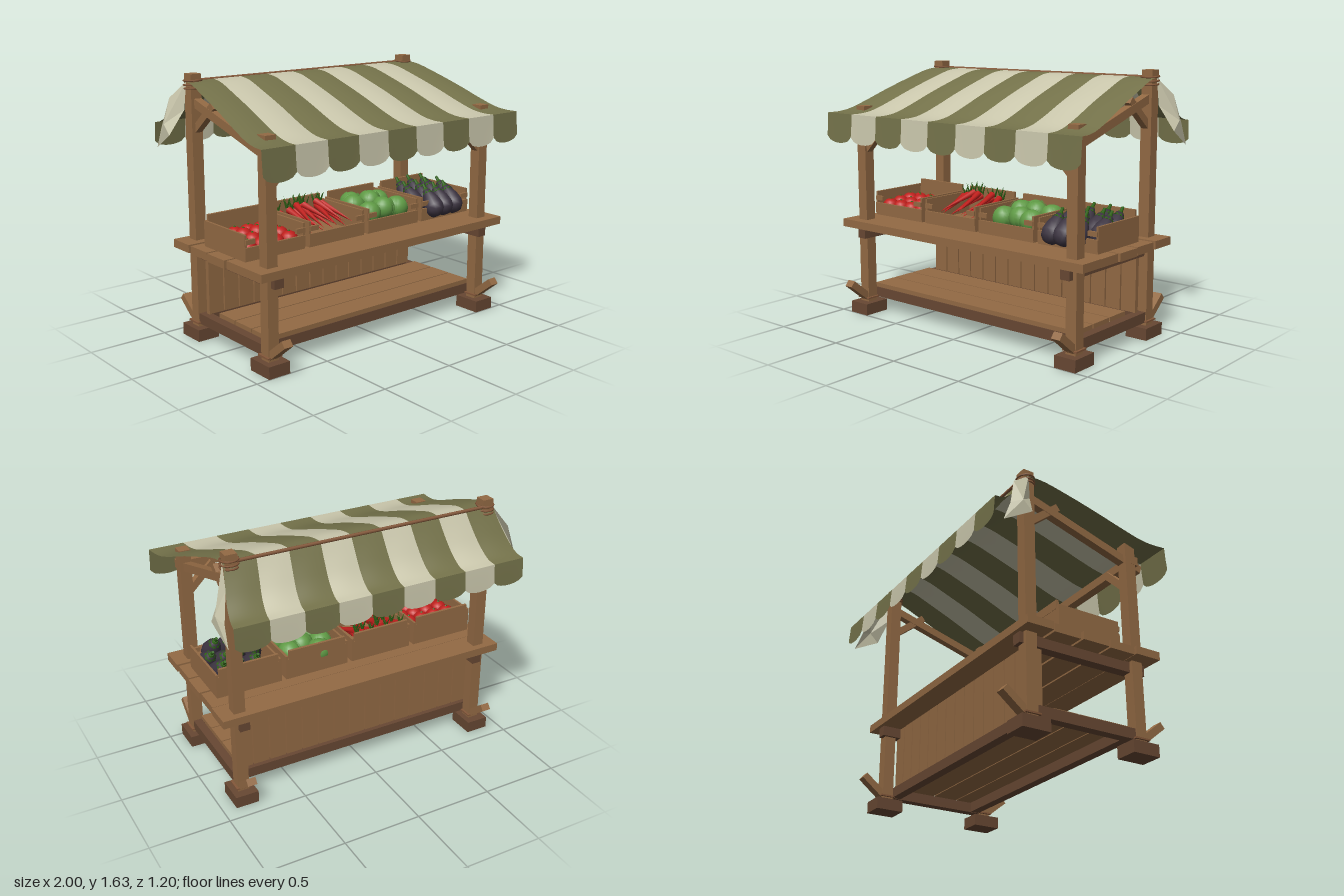
import * as THREE from 'three';

const mat = (name, color, side = THREE.FrontSide) => {
  const m = new THREE.MeshStandardMaterial({ color, side });
  m.name = name;
  return m;
};
const wood = mat('wood', 0x936a44), darkWood = mat('dark wood', 0x684833), rope = mat('rope', 0x84583a);
const olive = mat('olive cloth', 0x74724a, THREE.DoubleSide), cream = mat('cream cloth', 0xcac7ac, THREE.DoubleSide);
const red = mat('red', 0xc01f1c), cabbageGreen = mat('cabbage green', 0x5f9a45);
const leafGreen = mat('leaf green', 0x2f6416, THREE.DoubleSide), purple = mat('aubergine purple', 0x3d3542);

const UP = new THREE.Vector3(0, 1, 0);
const V = (p) => new THREE.Vector3(...p);

function add(parent, name, geo, material, pos = [0, 0, 0]) {
  const m = new THREE.Mesh(geo, material);
  m.name = name;
  m.position.set(...pos);
  parent.add(m);
  return m;
}
// Box given by its extents
function box(parent, name, material, [x0, x1], [y0, y1], [z0, z1]) {
  return add(parent, name, new THREE.BoxGeometry(x1 - x0, y1 - y0, z1 - z0), material,
    [(x0 + x1) / 2, (y0 + y1) / 2, (z0 + z1) / 2]);
}
// Turn an object whose axis is y so that it runs from a to b
function aim(obj, a, b) {
  const A = V(a), B = V(b);
  obj.position.copy(A).add(B).multiplyScalar(0.5);
  obj.quaternion.setFromUnitVectors(UP, B.sub(A).normalize());
  return obj;
}
function beam(parent, name, material, a, b, w, d = w) {
  return aim(add(parent, name, new THREE.BoxGeometry(w, V(a).distanceTo(V(b)), d), material), a, b);
}

// Striped cloth: rows are [half width, y, z]; 'puff' lifts stripe middles, 'drop' scallops the last row
function stripedCloth(parent, name, rows, { smooth = 1, puff = 0, drop = 0 } = {}) {
  const pts = smooth > 1 ? new THREE.CatmullRomCurve3(rows.map(V)).getPoints(smooth) : rows.map(V);
  const stripes = 9, cols = 8, n = pts.length;
  for (let s = 0; s < stripes; s++) {
    const pos = [], idx = [];
    pts.forEach((p, r) => {
      for (let c = 0; c <= cols; c++) {
        const arch = Math.sin((Math.PI * c) / cols);
        const x = (((s + c / cols) / stripes) * 2 - 1) * p.x;
        const scallop = r === n - 1 ? drop * Math.sqrt(arch) : 0;
        pos.push(x, p.y + puff * arch * Math.sin((Math.PI * r) / (n - 1)) - scallop, p.z);
      }
    });
    for (let r = 0; r < n - 1; r++) for (let c = 0; c < cols; c++) {
      const a = r * (cols + 1) + c, b = a + cols + 1;
      idx.push(a, b, a + 1, a + 1, b, b + 1);
    }
    const g = new THREE.BufferGeometry();
    g.setAttribute('position', new THREE.Float32BufferAttribute(pos, 3));
    g.setIndex(idx);
    g.computeVertexNormals();
    add(parent, name, g, s % 2 ? cream : olive);
  }
}

function buildFrame(g) {
  for (const s of [-1, 1]) {
    const x = s * 0.843, w = [x - 0.036, x + 0.036];
    for (const [z, top, dir] of [[0.41, 1.37, 1], [-0.32, 1.63, -1]]) {
      box(g, 'post', wood, w, [0.07, top], [z - 0.036, z + 0.036]);
      box(g, 'foot', darkWood, [x - 0.073, x + 0.073], [0, 0.075], [z - 0.09, z + 0.09]);
      beam(g, 'footBrace', wood, [x, 0.095, z + dir * 0.01], [x, 0.22, z + dir * 0.165], 0.06, 0.045);
      box(g, 'footBinding', rope, [x - 0.05, x + 0.05], [0.097, 0.107], [z - 0.05, z + 0.05]);
    }
    box(g, 'lowerSideRail', darkWood, [x - 0.03, x + 0.03], [0.095, 0.16], [-0.29, 0.38]);
    box(g, 'counterBearer', darkWood, [s * 0.823 - 0.032, s * 0.823 + 0.032], [0.51, 0.575], [-0.38, 0.48]);
    beam(g, 'rafter', wood, [s * 0.835, 1.225, 0.505], [s * 0.835, 1.463, -0.3], 0.05, 0.052);
    beam(g, 'rafterBrace', wood, [s * 0.835, 1.465, -0.1], [s * 0.835, 1.3, -0.3], 0.045);
    beam(g, 'frontBrace', wood, [s * 0.82, 1.09, 0.41], [s * 0.66, 1.25, 0.41], 0.045);
    // Rope lashings at the top of the rear posts
    for (const y of [1.545, 1.565, 1.59]) {
      const ring = add(g, 'ropeLashing', new THREE.TorusGeometry(0.053, 0.006, 6, 12), rope, [x, y, -0.32]);
      ring.rotation.x = Math.PI / 2 + 0.06 * s;
    }
  }
  box(g, 'lowerFrontRail', darkWood, [-0.82, 0.82], [0.098, 0.162], [0.31, 0.37]);
  box(g, 'lowerBackRail', darkWood, [-0.82, 0.82], [0.098, 0.162], [-0.285, -0.225]);
  box(g, 'frontCrossbar', wood, [-0.88, 0.88], [1.232, 1.288], [0.41, 0.468]);
  const pole = add(g, 'ridgePole', new THREE.CylinderGeometry(0.011, 0.011, 1.7, 8), rope, [0, 1.583, -0.345]);
  pole.rotation.z = Math.PI / 2;
}

function buildCounter(g) {
  [[0.34, 0.51], [0.16, 0.33], [-0.03, 0.147], [-0.22, -0.045], [-0.4, -0.23]].forEach((z, i) => {
    const e = 0.965 - (i % 2) * 0.008, y = i % 4 ? 0.572 : 0.577;
    box(g, 'counterPlank', wood, [-e, e], [y, y + 0.05], z);
  });
  for (const z of [[0.2, 0.365], [0.03, 0.193], [-0.14, 0.022]]) box(g, 'shelfPlank', wood, [-0.82, 0.82], [0.162, 0.19], z);
  for (let i = 0; i < 15; i++) {
    const x = (i - 7) * 0.112;
    box(g, 'backPanelPlank', wood, [x - 0.0515, x + 0.0515], [0.16, 0.573], [-0.256, -0.226]);
  }
}

function buildCanopy(g) {
  stripedCloth(g, 'frontCanopy', [[0.885, 1.585, -0.335], [0.9, 1.575, -0.24], [0.922, 1.525, -0.08],
    [0.945, 1.455, 0.12], [0.967, 1.385, 0.3], [0.98, 1.345, 0.42], [0.99, 1.332, 0.5], [1, 1.33, 0.58]], { smooth: 24, puff: 0.008 });
  stripedCloth(g, 'frontValance', [[1, 1.33, 0.58], [1, 1.25, 0.585], [1, 1.185, 0.592]], { drop: 0.042 });
  stripedCloth(g, 'backCanopy', [[0.95, 1.318, -0.595], [0.942, 1.33, -0.54], [0.928, 1.385, -0.47],
    [0.905, 1.48, -0.4], [0.885, 1.585, -0.335]], { smooth: 16, puff: 0.008 });
  stripedCloth(g, 'backValance', [[0.95, 1.318, -0.595], [0.95, 1.26, -0.6], [0.95, 1.2, -0.605]], { drop: 0.035 });
  // Gathered cloth hanging beside each rear post
  for (const s of [-1, 1]) {
    const rim = [[0.885, 1.585, -0.325], [0.925, 1.48, -0.455], [0.96, 1.3, -0.5], [0.965, 1.17, -0.55],
      [0.985, 1.27, -0.37], [0.9, 1.42, -0.33]];
    const pos = [s * 0.985, 1.33, -0.43, ...rim.flatMap(([x, y, z]) => [s * x, y, z])], idx = [];
    rim.forEach((_, i) => idx.push(0, i + 1, ((i + 1) % rim.length) + 1));
    const geo = new THREE.BufferGeometry();
    geo.setAttribute('position', new THREE.Float32BufferAttribute(pos, 3));
    geo.setIndex(s > 0 ? idx : idx.reverse());
    const flat = geo.toNonIndexed();
    flat.computeVertexNormals();
    add(g, 'gatheredCloth', flat, cream);
  }
}

function buildCrate(g, x) {
  const c = new THREE.Group(), t = 0.014, h = 0.213;
  c.name = 'crate';
  c.position.x = x;
  g.add(c);
  box(c, 'crateFloor', wood, [-h, h], [0.628, 0.645], [-0.15, 0.27]);
  box(c, 'crateFront', wood, [-h, h], [0.64, 0.71], [0.26, 0.275]);
  box(c, 'crateBack', wood, [-h, h], [0.64, 0.765], [-0.15, -0.136]);
  box(c, 'crateBackSlat', wood, [-h + 0.02, h - 0.02], [0.765, 0.82], [-0.152, -0.134]);
  for (const s of [-1, 1]) {
    box(c, 'crateSide', wood, [s * (h - t / 2) - t / 2, s * (h - t / 2) + t / 2], [0.64, 0.785], [-0.15, 0.268]);
    box(c, 'crateFrontTab', wood, [s * 0.178 - 0.032, s * 0.178 + 0.032], [0.728, 0.757], [0.262, 0.278]);
  }
  return c;
}

// Fan of thin leaves rising from a point
function leaves(parent, [x, y, z], count, len, radius, spread) {
  for (let i = 0; i < count; i++) {
    const a = (i / count) * Math.PI * 2, r = spread * len;
    const leaf = add(parent, 'leaf', new THREE.ConeGeometry(radius, len, 4), leafGreen);
    aim(leaf, [x, y, z], [x + Math.cos(a) * r, y + len, z + Math.sin(a) * r]);
  }
}

function fillTomatoes(c) {
  for (let r = 0; r < 4; r++) for (let i = 0; i < 4; i++) {
    const p = [(i - 1.5) * 0.098, 0.688 + ((i * 3 + r) % 3) * 0.007, 0.2 - r * 0.092];
    const tomato = add(c, 'tomato', new THREE.SphereGeometry(0.053, 14, 10), red, p);
    tomato.scale.y = 0.88;
    add(c, 'tomatoStem', new THREE.ConeGeometry(0.013, 0.01, 5), leafGreen, [p[0], p[1] + 0.048, p[2]]);
  }
}

function fillCarrots(c) {
  for (let i = 0; i < 11; i++) {
    const x = -0.16 + i * 0.032, lift = (i % 3) * 0.018, lean = ((i * 7) % 5 - 2) * 0.012;
    const top = [x + lean, 0.765 + lift, -0.07 + lift], tip = [x - lean, 0.685 + lift, 0.2 + (i % 2) * 0.03];
    aim(add(c, 'carrot', new THREE.ConeGeometry(0.022, 0.27, 8), red), top, tip);
    if (i !== 8) leaves(c, [top[0], top[1] + 0.005, top[2] - 0.01], 4, 0.07, 0.009, 0.45);
  }
}

function fillCabbages(c) {
  for (const [x, y, z] of [[-0.105, 0.725, 0.16], [0.02, 0.735, 0.15], [0.12, 0.73, 0.17],
    [-0.1, 0.74, 0.0], [0.03, 0.75, 0.01], [0.125, 0.735, -0.02], [-0.05, 0.735, -0.08]]) {
    add(c, 'cabbage', new THREE.SphereGeometry(0.07, 12, 9), cabbageGreen, [x, y, z]);
    // Overlapping outer leaves
    for (let k = 0; k < 4; k++) {
      const shell = new THREE.SphereGeometry(0.076, 8, 6, 0, 1.3, 0.35, 1.5);
      add(c, 'cabbageLeaf', shell, cabbageGreen, [x, y, z]).rotation.set(0.15, k * 1.57 + x * 20, 0.12);
    }
  }
}

function fillAubergines(c) {
  const profile = [[0, -0.1], [0.035, -0.093], [0.06, -0.065], [0.066, -0.03], [0.055, 0.02], [0.036, 0.06], [0.024, 0.09], [0, 0.095]];
  const body = new THREE.LatheGeometry(profile.map((p) => new THREE.Vector2(...p)), 10);
  const place = (x, y, z, tilt) => {
    const a = new THREE.Group();
    a.name = 'aubergine';
    a.position.set(x, y, z);
    a.rotation.x = tilt;
    c.add(a);
    add(a, 'aubergineBody', body, purple);
    add(a, 'aubergineCap', new THREE.CylinderGeometry(0.014, 0.038, 0.04, 7), leafGreen, [0, 0.083, 0]);
    add(a, 'aubergineStem', new THREE.CylinderGeometry(0.009, 0.011, 0.04, 6), leafGreen, [0, 0.115, 0]);
  };
  for (const x of [-0.105, -0.02, 0.07]) place(x, 0.735, 0.255, -0.65);
  for (const [x, z] of [[-0.13, 0.1], [-0.03, 0.11], [0.07, 0.09], [0.15, 0.13], [-0.08, -0.02], [0.03, -0.03], [0.13, -0.01]])
    place(x, 0.735, z, -0.75);
}

export function createModel() {
  const g = new THREE.Group();
  g.name = 'marketStall';
  buildFrame(g);
  buildCounter(g);
  buildCanopy(g);
  [fillTomatoes, fillCarrots, fillCabbages, fillAubergines].forEach((fill, i) => fill(buildCrate(g, -0.69 + i * 0.458)));
  return g;
}
